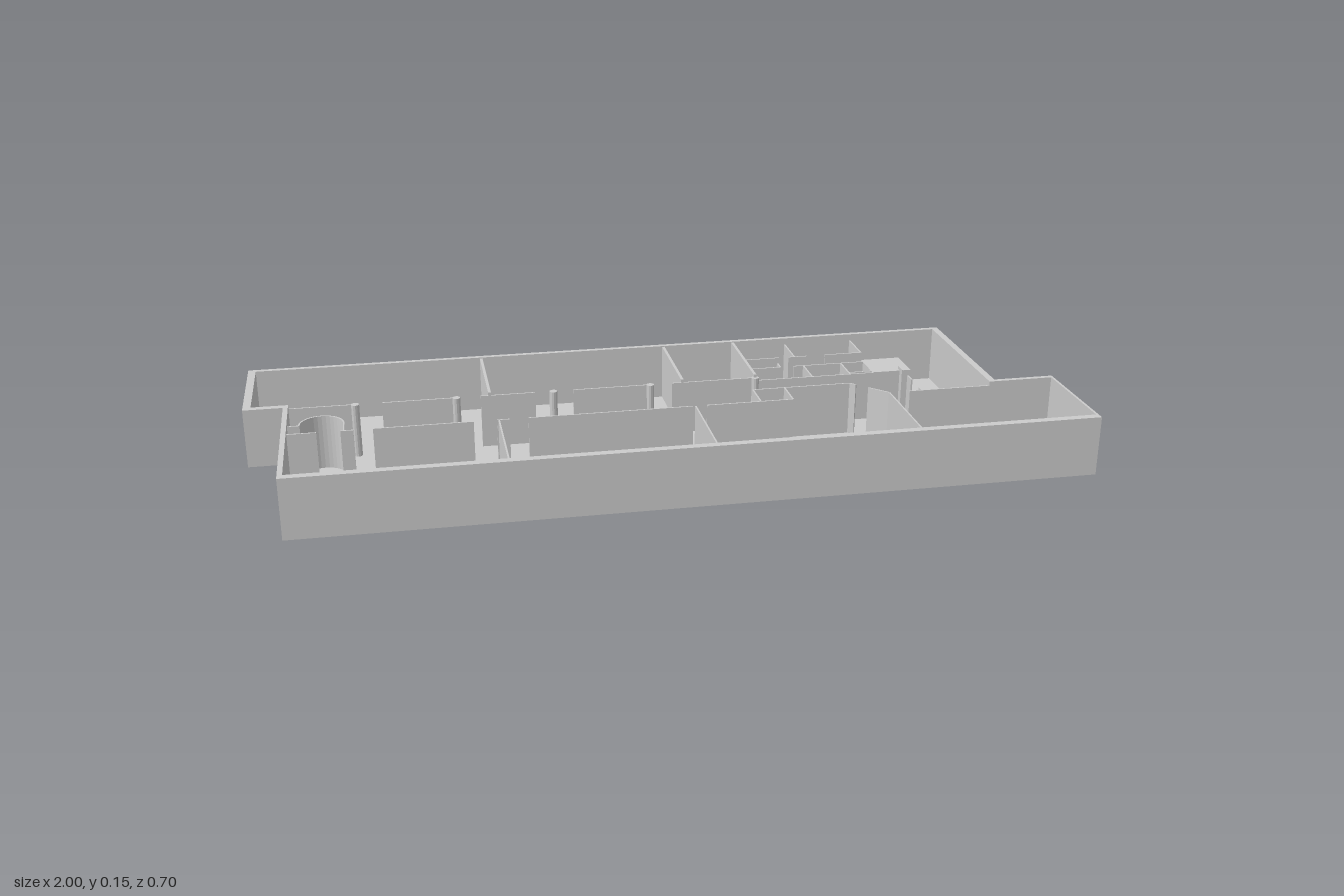
import * as THREE from 'three';

const FLOOR = 0.004, TOP = 0.148, HALL = 0.138, LOW = 0.13;
const BACK_Z = -0.087, FRONT_Z = 0.077; // hallway wall lines
const material = new THREE.MeshStandardMaterial({ color: 0xcccccc, flatShading: true });

// Extrude a clockwise plan outline of [x, z] corners from y0 up to y1; holes run the other way
function extrudePlan(name, outer, y0, y1, inner) {
  const toPath = (pts) => pts.map(([x, z]) => new THREE.Vector2(x, -z));
  const shape = new THREE.Shape(toPath(outer));
  if (inner) shape.holes.push(new THREE.Path(toPath(inner).reverse()));
  const geometry = new THREE.ExtrudeGeometry(shape, { depth: y1 - y0, bevelEnabled: false });
  geometry.rotateX(-Math.PI / 2);
  geometry.translate(0, y0, 0);
  const mesh = new THREE.Mesh(geometry, material);
  mesh.name = name;
  return mesh;
}

// Straight upright wall between two plan points
function wall(name, x1, z1, x2, z2, height, thick = 0.004) {
  const length = Math.hypot(x2 - x1, z2 - z1);
  const mesh = new THREE.Mesh(new THREE.BoxGeometry(length, height - FLOOR, thick), material);
  mesh.position.set((x1 + x2) / 2, (height + FLOOR) / 2, (z1 + z2) / 2);
  mesh.rotation.y = -Math.atan2(z2 - z1, x2 - x1);
  mesh.name = name;
  return mesh;
}

export function createModel() {
  const model = new THREE.Group();
  model.name = 'floorPlan';

  // Floor slab and outer shell
  const outer = [[-1, -0.352], [0.847, -0.352], [0.847, 0.065], [1, 0.065],
    [1, 0.352], [-0.905, 0.352], [-0.905, -0.07], [-1, -0.07]];
  const inner = [[-0.981, -0.339], [0.83, -0.339], [0.83, FRONT_Z], [0.994, FRONT_Z],
    [0.994, 0.333], [-0.893, 0.333], [-0.893, BACK_Z], [-0.981, BACK_Z]];
  model.add(extrudePlan('floor', outer, 0, FLOOR));
  model.add(extrudePlan('outerWalls', outer, FLOOR, TOP, inner));

  // Walls dividing the large rooms
  const dividers = new THREE.Group();
  dividers.name = 'roomDividers';
  for (const x of [-0.408, 0.077, 0.266]) dividers.add(wall('backDivider', x, -0.339, x, BACK_Z, TOP - 0.002, 0.007));
  for (const x of [-0.4, 0.077, 0.568]) dividers.add(wall('frontDivider', x, FRONT_Z, x, 0.333, HALL));
  model.add(dividers);

  // Hallway walls broken by doorways
  const hallway = new THREE.Group();
  hallway.name = 'hallwayWalls';
  const backRuns = [[-0.893, -0.735], [-0.67, -0.49], [-0.43, -0.295], [-0.2, -0.005], [0.05, 0.266]];
  const frontRuns = [[-0.893, -0.825], [-0.77, -0.74], [-0.695, -0.46], [-0.405, -0.375],
    [-0.33, 0.07], [0.105, 0.32], [0.62, 0.83]];
  for (const [a, b] of backRuns) hallway.add(wall('backHallWall', a, BACK_Z, b, BACK_Z, HALL));
  for (const [a, b] of frontRuns) hallway.add(wall('frontHallWall', a, FRONT_Z, b, FRONT_Z, HALL));
  model.add(hallway);

  // Round columns along the back hallway wall
  for (const x of [-0.735, -0.49, -0.25, -0.005, 0.266]) {
    const column = new THREE.Mesh(new THREE.CylinderGeometry(0.01, 0.01, HALL - FLOOR, 12), material);
    column.position.set(x, (HALL + FLOOR) / 2, BACK_Z);
    column.name = 'column';
    model.add(column);
  }

  // Curved nook at the end of the hallway
  const nook = new THREE.Group();
  nook.name = 'curvedNook';
  const arc = (r, from, to) => Array.from({ length: 17 }, (_, i) => {
    const t = from + (to - from) * i / 16;
    return [-0.814 + r * Math.cos(t), 0.026 - r * Math.sin(t)];
  });
  nook.add(extrudePlan('curvedWall', [...arc(0.054, Math.PI, 0), ...arc(0.05, 0, Math.PI)], FLOOR, HALL));
  nook.add(wall('nookSide', -0.762, 0.026, -0.762, FRONT_Z, HALL));
  nook.add(wall('nookEnd', -0.893, 0.028, -0.864, 0.028, HALL));
  model.add(nook);

  // Closet and angled entry beside the front hallway wall
  const entry = new THREE.Group();
  entry.name = 'entryWalls';
  for (const run of [
    [0.24, -0.004, 0.24, FRONT_Z], [0.321, -0.004, 0.321, FRONT_Z], [0.24, -0.004, 0.49, -0.004],
    [0.49, -0.004, 0.503, 0.009], [0.527, 0.035, 0.568, FRONT_Z],
    [0.653, -0.1, 0.653, -0.07], [0.653, -0.03, 0.653, 0], [0.653, 0.055, 0.653, FRONT_Z],
  ]) entry.add(wall('entryWall', ...run, HALL));
  model.add(entry);

  // Small service rooms
  const service = new THREE.Group();
  service.name = 'serviceRooms';
  for (const run of [
    [0.412, -0.339, 0.412, -0.241], [0.595, -0.339, 0.595, -0.241],
    [0.268, -0.241, 0.37, -0.241], [0.395, -0.241, 0.445, -0.241], [0.495, -0.241, 0.595, -0.241],
    [0.268, -0.171, 0.355, -0.171], [0.355, -0.2, 0.355, -0.171], [0.39, -0.171, 0.578, -0.171],
    [0.417, -0.171, 0.417, BACK_Z], [0.518, -0.171, 0.518, BACK_Z],
    [0.268, BACK_Z, 0.578, BACK_Z], [0.518, -0.099, 0.578, -0.099],
  ]) service.add(wall('serviceWall', ...run, LOW));
  model.add(service);

  // Solid utility block
  model.add(wall('utilityBlock', 0.578, -0.136, 0.681, -0.136, LOW, 0.096));
  return model;
}
